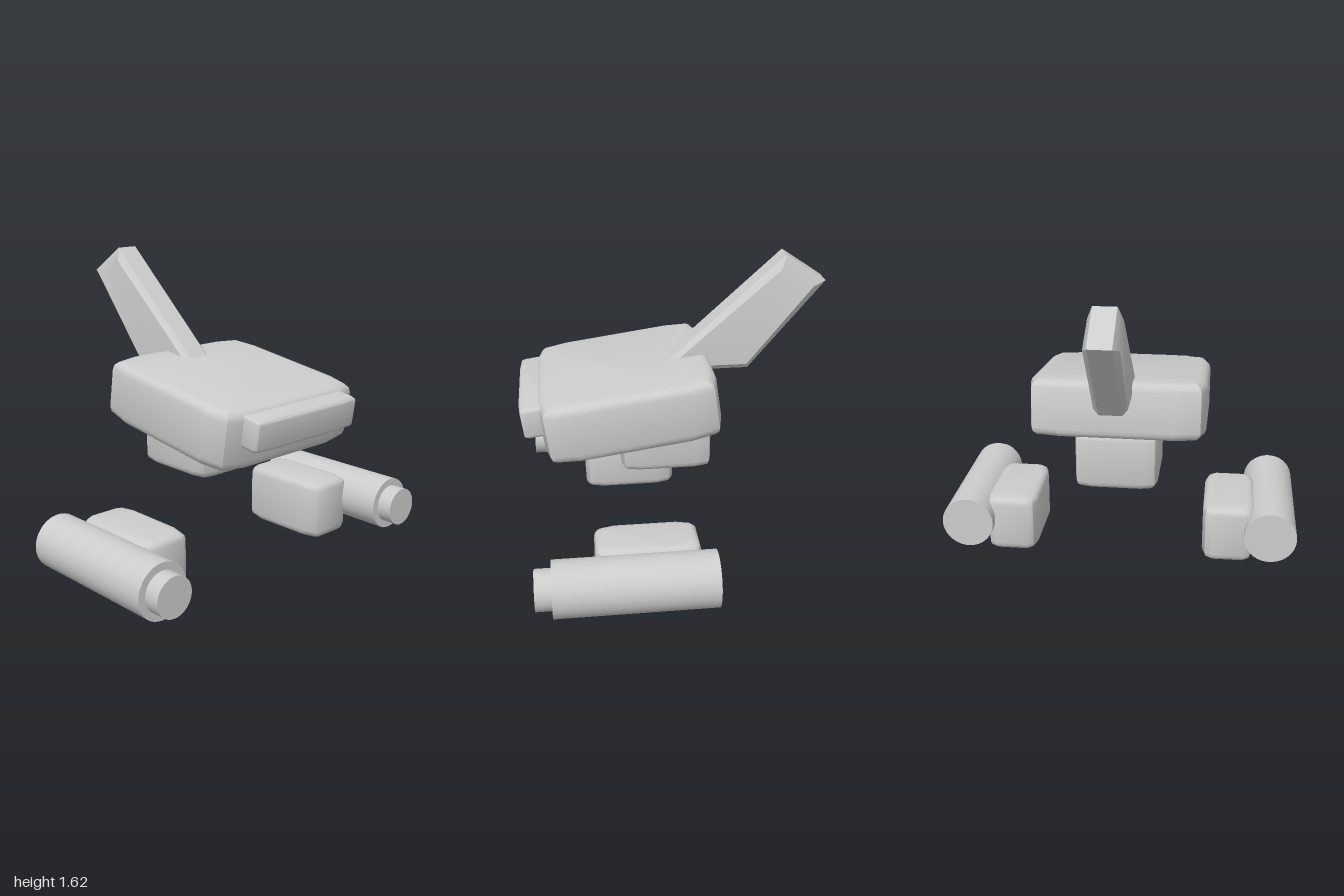
import * as THREE from 'three';
import { toCreasedNormals } from 'three/addons/utils/BufferGeometryUtils.js';

const lightGrey = new THREE.MeshStandardMaterial({ color: 0xcccccc });
lightGrey.name = 'lightGrey';

// Skin a stack of convex outlines; each layer is { y, pts: [[x, z], ...] }
function loft(layers) {
  const flip = THREE.ShapeUtils.area(layers[0].pts.map(([x, y]) => ({ x, y }))) > 0;
  const n = layers[0].pts.length;
  const pos = [], idx = [];
  for (const { y, pts } of layers) {
    for (const [x, z] of flip ? [...pts].reverse() : pts) pos.push(x, y, z);
  }
  const top = (layers.length - 1) * n;
  for (let l = 0; l < top; l += n) {
    for (let i = 0; i < n; i++) {
      const j = (i + 1) % n;
      idx.push(l + i, l + j, l + n + j, l + i, l + n + j, l + n + i);
    }
  }
  for (let i = 1; i < n - 1; i++) {
    idx.push(0, i + 1, i, top, top + i, top + i + 1);
  }
  const geo = new THREE.BufferGeometry();
  geo.setAttribute('position', new THREE.Float32BufferAttribute(pos, 3));
  geo.setIndex(idx);
  return toCreasedNormals(geo, 0.6);
}

// Box with gently bowed sides, crisp upright corners and rounded top and bottom rims
function bowedBox(w, h, d, bevel, pull) {
  const ring = (inset) => {
    const a = w / 2 - inset, b = d / 2 - inset, s = 0.66;
    const pts = [];
    for (const [sx, sz] of [[1, 1], [-1, 1], [-1, -1], [1, -1]]) {
      const quarter = [[sx * a, sz * b * s], [sx * (a - pull), sz * (b - pull)], [sx * a * s, sz * b]];
      pts.push(...(sx * sz > 0 ? quarter : quarter.reverse()));
    }
    return pts;
  };
  const layers = [];
  for (const side of [-1, 1]) {
    for (let k = 0; k <= 3; k++) {
      const t = ((side < 0 ? k : 3 - k) / 3) * Math.PI / 2;
      layers.push({
        y: side * (h / 2 - bevel * (1 - Math.cos(t - Math.PI / 2) * 1) * 1),
        pts: ring(bevel * (1 - Math.sin(t))),
      });
    }
  }
  // rim heights follow the same quarter circle as the insets
  layers.forEach((layer, i) => {
    const t = ((i < 4 ? i : 7 - i) / 3) * Math.PI / 2;
    layer.y = (i < 4 ? -1 : 1) * (h / 2 - bevel * (1 - Math.cos(t)));
  });
  return loft(layers);
}

function add(parent, name, geo, x = 0, y = 0, z = 0) {
  const mesh = new THREE.Mesh(geo, lightGrey);
  mesh.name = name;
  mesh.position.set(x, y, z);
  parent.add(mesh);
  return mesh;
}

function cylinderZ(r, z0, z1) {
  return new THREE.CylinderGeometry(r, r, z1 - z0, 48).rotateX(Math.PI / 2).translate(0, 0, (z0 + z1) / 2);
}

export function createModel() {
  const model = new THREE.Group();
  model.name = 'model';

  // Tilted hull with its front panel
  const hull = new THREE.Group();
  hull.name = 'hull';
  hull.position.set(0, 0.88, 0.247);
  hull.rotation.x = THREE.MathUtils.degToRad(8);
  model.add(hull);
  add(hull, 'hullBody', bowedBox(0.96, 0.315, 0.93, 0.05, 0.028));
  add(hull, 'frontPanel', bowedBox(0.72, 0.165, 0.16, 0.02, 0.008), 0, 0.055, 0.482);

  // Block under the hull
  add(model, 'underBlock', bowedBox(0.455, 0.32, 0.49, 0.04, 0.015), 0, 0.643, 0.045);

  // Swept fin: side outlines as [-y, z], thinner towards the rim
  const rim = [[-1.0, 0.085], [-1.62, -0.6], [-1.475, -0.815], [-1.0, -0.41]];
  const face = [[-1.03, 0.02], [-1.55, -0.575], [-1.45, -0.745], [-1.03, -0.4]];
  const fin = loft([
    { y: -0.088, pts: face }, { y: -0.06, pts: rim },
    { y: 0.06, pts: rim }, { y: 0.088, pts: face },
  ]);
  add(model, 'fin', fin.rotateZ(-Math.PI / 2));

  // Side pods: foot block, barrel and nozzle
  for (const side of [1, -1]) {
    const pod = new THREE.Group();
    pod.name = side > 0 ? 'leftPod' : 'rightPod';
    model.add(pod);
    add(pod, 'footBlock', bowedBox(0.29, 0.325, 0.535, 0.042, 0.018), side * 0.62, 0.1645, 0.197);
    add(pod, 'barrel', cylinderZ(0.145, -0.135, 0.69), side * 0.855, 0.2);
    add(pod, 'nozzle', cylinderZ(0.105, 0.6, 0.775), side * 0.855, 0.2);
  }
  return model;
}
